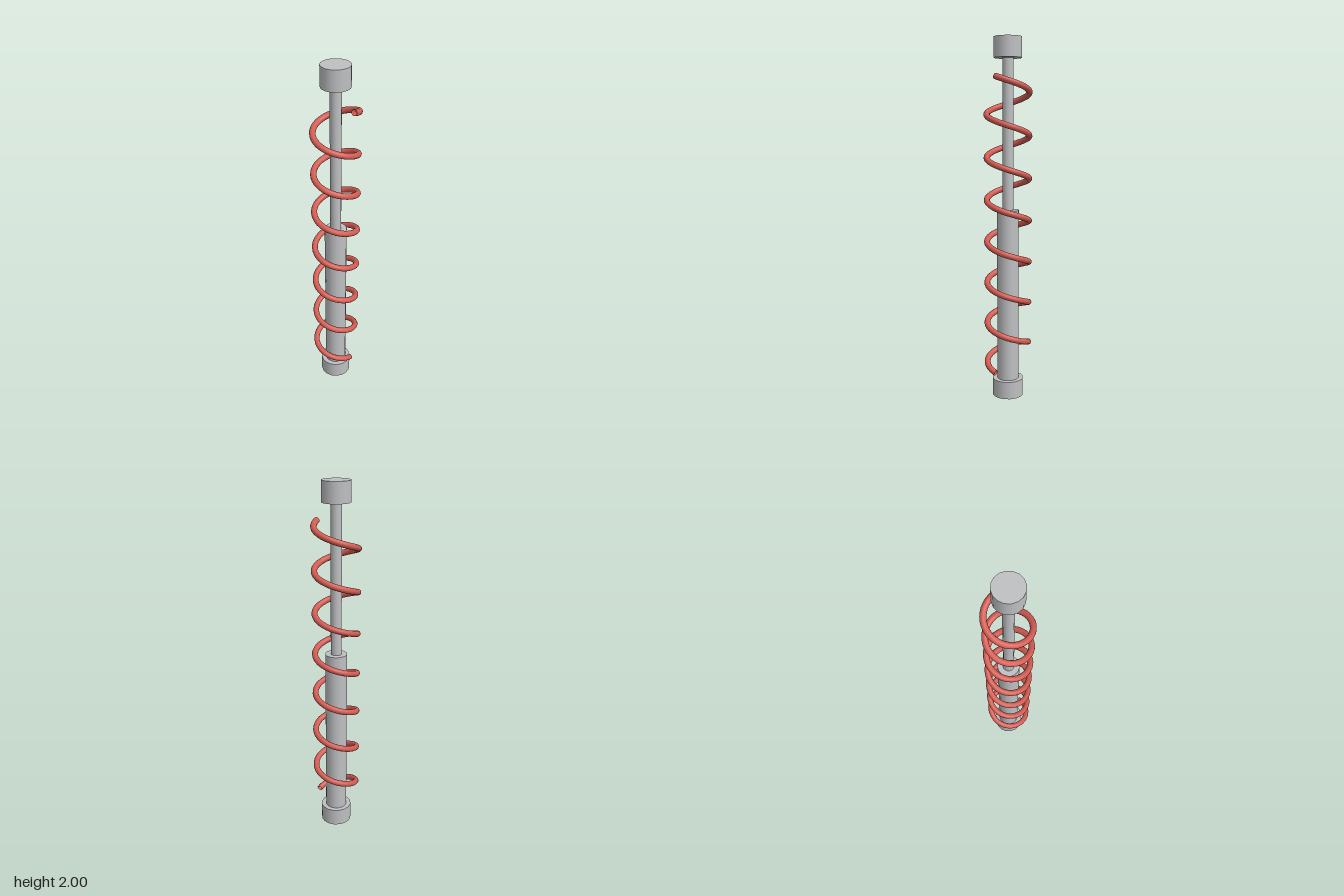
import * as THREE from 'three';

// Helix starting on +x, turning towards +z as it rises
class Helix extends THREE.Curve {
  constructor(radius, y0, y1, turns) {
    super();
    Object.assign(this, { radius, y0, y1, turns });
  }
  getPoint(t, target = new THREE.Vector3()) {
    const a = t * this.turns * Math.PI * 2;
    return target.set(
      this.radius * Math.cos(a),
      this.y0 + (this.y1 - this.y0) * t,
      this.radius * Math.sin(a)
    );
  }
}

export function createModel() {
  const metal = new THREE.MeshStandardMaterial({ color: 0xbfc0c2 });
  metal.name = 'grey metal';
  const red = new THREE.MeshStandardMaterial({ color: 0xd35c53, side: THREE.DoubleSide });
  red.name = 'spring red';

  const group = new THREE.Group();
  group.name = 'shockAbsorber';

  // Damper: stacked cylinders [name, radius, bottom, top]
  const parts = [
    ['bottomMount', 0.087, 0, 0.1],
    ['damperBody', 0.061, 0.1, 1.07],
    ['pistonRod', 0.03, 1.07, 1.89],
    ['topMount', 0.077, 1.89, 2],
  ];
  for (const [name, radius, bottom, top] of parts) {
    const mesh = new THREE.Mesh(new THREE.CylinderGeometry(radius, radius, top - bottom, 16), metal);
    mesh.name = name;
    mesh.position.y = (bottom + top) / 2;
    group.add(mesh);
  }

  // Coil spring, seven turns
  const spring = new THREE.Mesh(
    new THREE.TubeGeometry(new Helix(0.1165, 0.16, 1.79, 7), 280, 0.0165, 12, false),
    red
  );
  spring.name = 'coilSpring';
  group.add(spring);

  return group;
}
